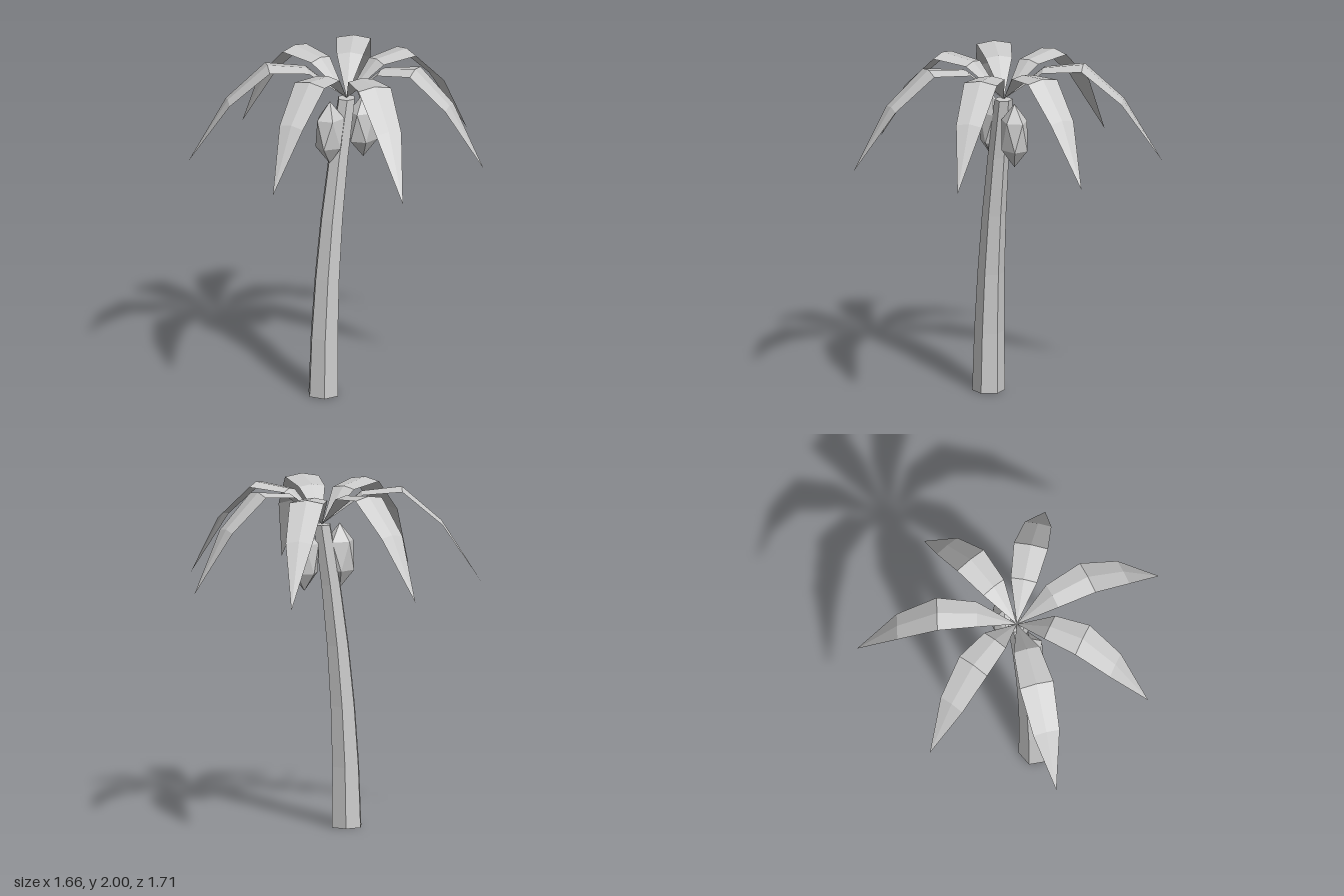
import * as THREE from 'three';

const AXIS_Z = -0.05;   // trunk and crown axis in z
const CROWN_Y = 1.78;   // where trunk and fronds meet

// Tapered six-sided trunk, bent along a parabola
function trunkGeometry() {
  const g = new THREE.CylinderGeometry(0.053, 0.095, CROWN_Y, 6, 5, false, Math.PI / 2);
  g.translate(0, CROWN_Y / 2, 0);
  const p = g.attributes.position;
  for (let i = 0; i < p.count; i++) {
    const t = p.getY(i) / CROWN_Y;
    p.setX(i, p.getX(i) - 0.16 * (1 - t * t));
  }
  g.computeVertexNormals();
  return g;
}

// Arched leaf along +x with a raised midrib: [height, half width] at even steps
function frondGeometry(length) {
  const sections = [[0, 0], [0.195, 0.077], [0.22, 0.1], [0.02, 0.078], [-0.345, 0]];
  const pos = [], idx = [];
  sections.forEach(([y, w], i) => {
    const x = length * i / (sections.length - 1);
    const drop = w * 0.18;
    pos.push(x, y - drop, w, x, y, 0, x, y - drop, -w);
    if (i === 0) return;
    for (let s = 0; s < 2; s++) {
      const a = (i - 1) * 3 + s, b = i * 3 + s;
      if (i < sections.length - 1) idx.push(a, b, b + 1);
      else idx.push(a, b, a + 1);
      if (i > 1 && i < sections.length - 1) idx.push(a, b + 1, a + 1);
    }
  });
  const g = new THREE.BufferGeometry();
  g.setAttribute('position', new THREE.Float32BufferAttribute(pos, 3));
  g.setIndex(idx);
  g.computeVertexNormals();
  return g;
}

// Stretched icosahedron standing on a corner
function coconutGeometry() {
  const g = new THREE.IcosahedronGeometry(1, 0);
  g.rotateX(-Math.atan((1 + Math.sqrt(5)) / 2));
  g.rotateY(Math.PI / 2);
  g.scale(0.098, 0.19, 0.082);
  g.computeVertexNormals();
  return g;
}

export function createModel() {
  const palm = new THREE.Group();
  palm.name = 'palmTree';
  const grey = new THREE.MeshStandardMaterial({
    name: 'light grey', color: 0xcccccc, flatShading: true, side: THREE.DoubleSide,
  });

  const add = (name, geometry, x, y, turn = 0) => {
    const mesh = new THREE.Mesh(geometry, grey);
    mesh.name = name;
    mesh.position.set(x, y, AXIS_Z);
    mesh.rotation.y = turn;
    palm.add(mesh);
  };

  add('trunk', trunkGeometry(), 0, 0);

  // Seven fronds, alternating short and long
  const shortFrond = frondGeometry(0.83), longFrond = frondGeometry(0.92);
  for (let i = 0; i < 7; i++) {
    add('frond' + (i + 1), i % 2 ? longFrond : shortFrond, 0, CROWN_Y, i * Math.PI * 2 / 7);
  }

  // A coconut on each side, the second turned half round
  const coconut = coconutGeometry();
  add('leftCoconut', coconut, 0.115, 1.59);
  add('rightCoconut', coconut, -0.115, 1.59, Math.PI);

  return palm;
}
